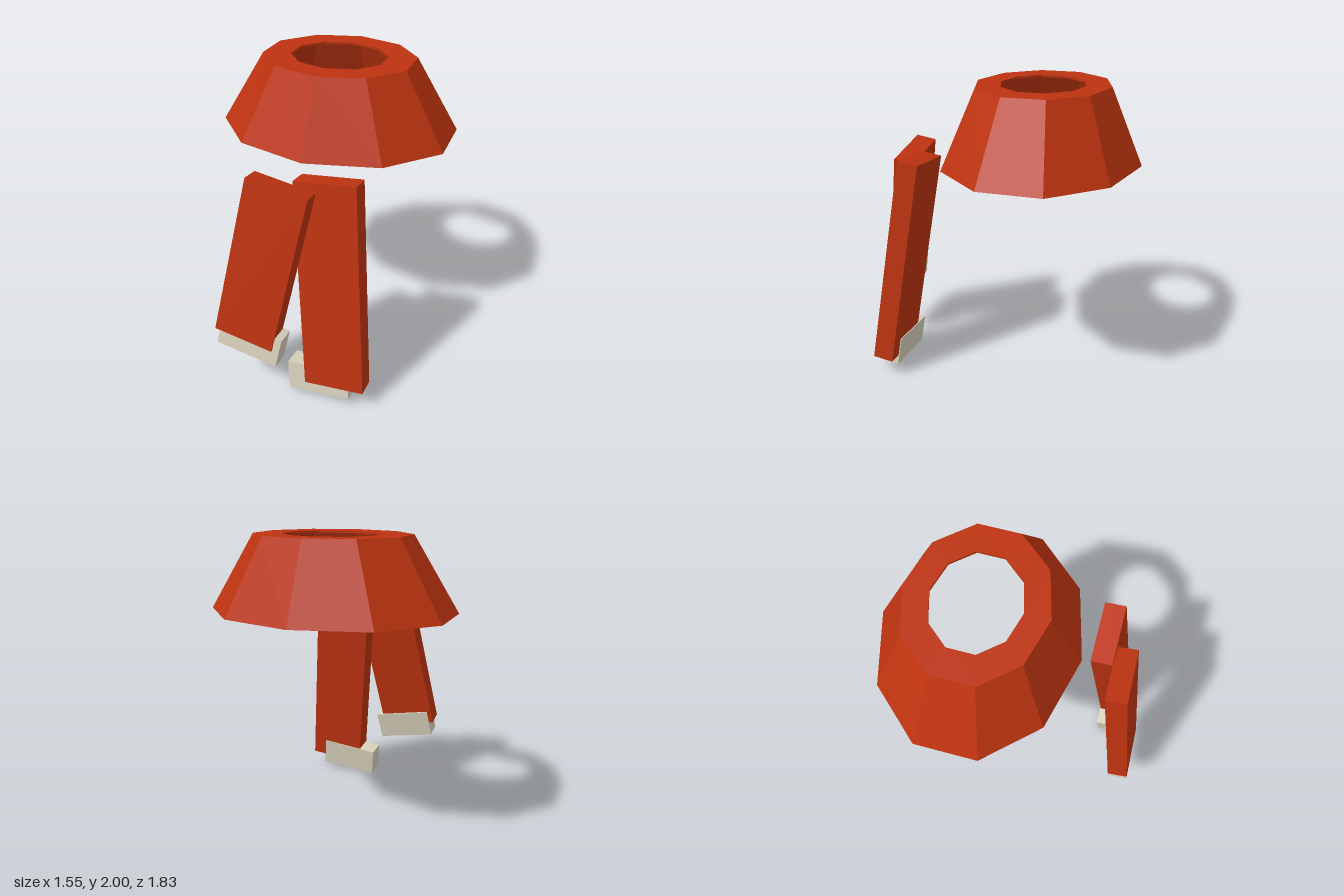
import * as THREE from 'three';

export function createModel() {
  const model = new THREE.Group();
  const red = new THREE.MeshStandardMaterial({ color: 0xbd3310 });
  red.name = 'rust red';
  const cream = new THREE.MeshStandardMaterial({ color: 0xd8d0bc });
  cream.name = 'cream';

  // Flared ten-sided hollow collar: [x radius, z radius, y], outside up, then inside down
  const profile = [
    [0.815, 0.65, 1.515],
    [0.515, 0.437, 2],
    [0.326, 0.278, 2],
    [0.326, 0.278, 1.985],
    [0.475, 0.4, 1.985],
    [0.77, 0.61, 1.515],
    [0.815, 0.65, 1.515],
  ];
  const lathe = new THREE.LatheGeometry(profile.map(([r, , y]) => new THREE.Vector2(r, y)), 10);
  const pos = lathe.attributes.position;
  for (let i = 0; i < pos.count; i++) {
    const [rx, rz] = profile[i % profile.length];
    pos.setZ(i, pos.getZ(i) * rz / rx); // oval rings
  }
  const collarGeometry = lathe.toNonIndexed();
  collarGeometry.computeVertexNormals(); // flat facets
  const collar = new THREE.Mesh(collarGeometry, red);
  collar.name = 'collar';
  collar.position.z = -0.263;
  model.add(collar);

  // Sleeve with a cuff block at its lower end, tilted sideways and forwards
  function addLimb(side, length, center, tiltX, tiltZ, cuffOffset) {
    const limb = new THREE.Group();
    limb.name = side + 'Limb';
    limb.position.set(...center);
    limb.rotation.set(THREE.MathUtils.degToRad(tiltX), 0, THREE.MathUtils.degToRad(tiltZ), 'ZYX');
    const sleeve = new THREE.Mesh(new THREE.BoxGeometry(0.403, length, 0.14), red);
    sleeve.name = side + 'Sleeve';
    const cuff = new THREE.Mesh(new THREE.BoxGeometry(0.42, 0.2, 0.14), cream);
    cuff.name = side + 'Cuff';
    cuff.position.set(...cuffOffset);
    limb.add(sleeve, cuff);
    model.add(limb);
  }
  addLimb('right', 1.082, [-0.113, 0.968, 0.744], -10, -10, [0.039, -0.545, -0.011]);
  addLimb('left', 1.416, [0.298, 0.808, 0.608], -8, 5.9, [-0.11, -0.677, -0.006]);

  return model;
}
